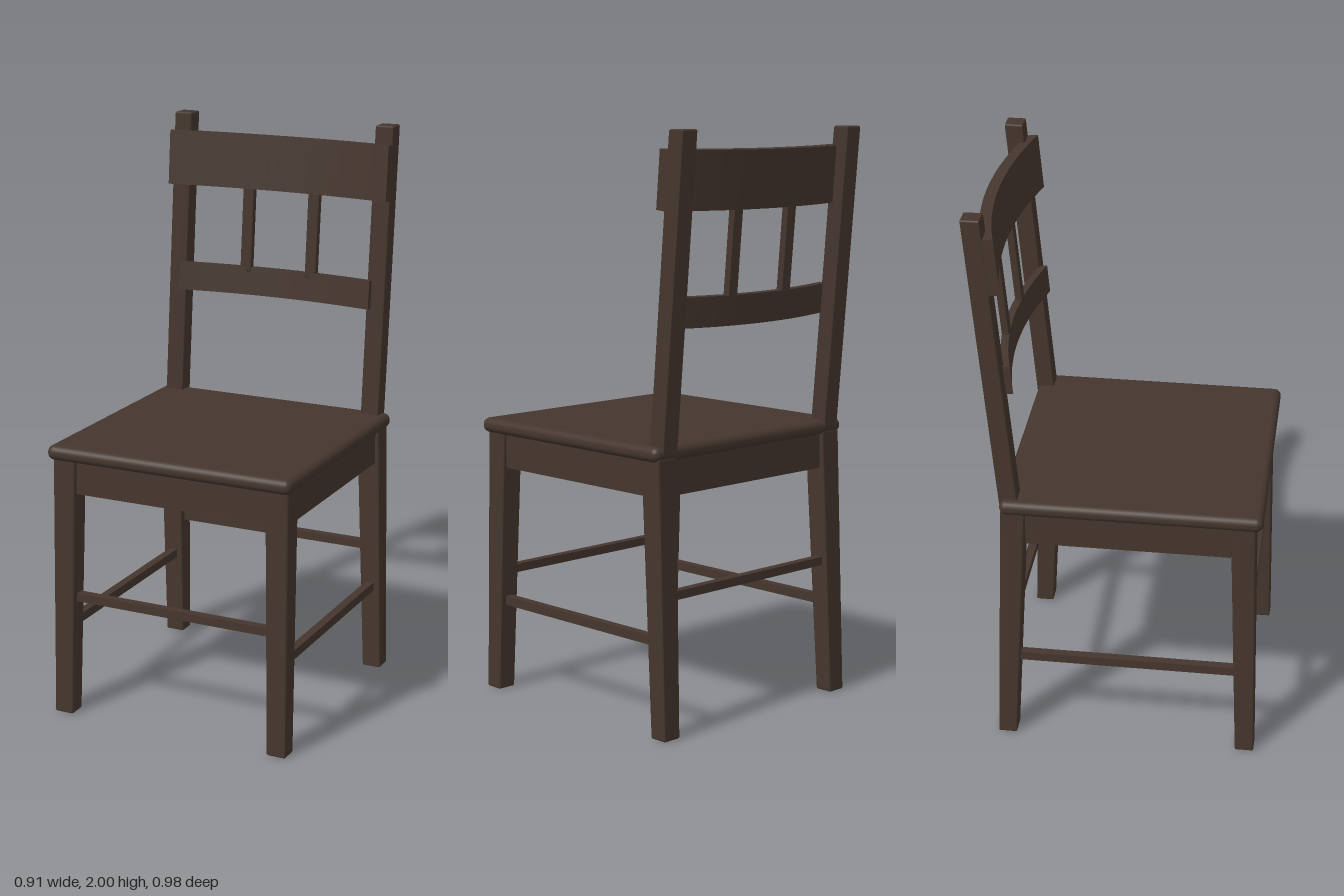
import * as THREE from 'three';
import { RoundedBoxGeometry } from 'three/addons/geometries/RoundedBoxGeometry.js';

const TILT = -0.086; // backward lean of the backrest

export function createModel() {
  const chair = new THREE.Group();
  chair.name = 'chair';
  const wood = new THREE.MeshStandardMaterial({ name: 'dark walnut', color: 0x45362e });

  function add(name, geometry, x = 0, y = 0, z = 0) {
    const mesh = new THREE.Mesh(geometry, wood);
    mesh.name = name;
    mesh.position.set(x, y, z);
    chair.add(mesh);
    return mesh;
  }

  // Softly bevelled bar running upward between two rectangles [x, z, width, depth]
  function bar(name, y0, y1, low, high) {
    const geo = new RoundedBoxGeometry(1, 1, 1, 1, 0.08);
    const p = geo.attributes.position;
    const h = y1 - y0, bevel = 0.006;
    for (let i = 0; i < p.count; i++) {
      // keep the end bevels short however long the bar is
      const py = p.getY(i);
      const end = Math.max(0, (Math.abs(py) - 0.42) / 0.08);
      const t = 0.5 + Math.sign(py) * (0.5 - (1 - end) * bevel / h);
      const r = low.map((v, k) => THREE.MathUtils.lerp(v, high[k], t));
      p.setXYZ(i, r[0] + p.getX(i) * r[2], y0 + t * h, r[1] + p.getZ(i) * r[3]);
    }
    return add(name, geo);
  }

  // Board bowed backward in the middle and leaning with the posts
  function bowedRail(name, width, height, depth, bow, y, z) {
    const geo = new THREE.BoxGeometry(width, height, depth, 20, 1, 1);
    const p = geo.attributes.position;
    for (let i = 0; i < p.count; i++) {
      const u = p.getX(i) / (width / 2);
      p.setZ(i, p.getZ(i) - bow * (1 - u * u));
    }
    geo.computeVertexNormals();
    add(name, geo, 0, y, z).rotation.x = TILT;
  }

  // Seat with a rounded edge
  add('seat', new RoundedBoxGeometry(0.91, 0.052, 0.89, 4, 0.024), 0, 0.954, 0.045);

  for (const s of [1, -1]) {
    const side = s > 0 ? 'left' : 'right';
    // Tapered, splayed legs and leaning posts
    bar(side + 'FrontLeg', 0, 0.94, [s * 0.41, 0.452, 0.07, 0.066], [s * 0.398, 0.424, 0.084, 0.084]);
    bar(side + 'BackLeg', 0, 0.94, [s * 0.41, -0.398, 0.07, 0.066], [s * 0.398, -0.355, 0.084, 0.084]);
    bar(side + 'BackPost', 0.95, 2, [s * 0.392, -0.37, 0.068, 0.064], [s * 0.392, -0.461, 0.068, 0.064]);
    // Side apron and stretcher
    add(side + 'Apron', new THREE.BoxGeometry(0.035, 0.125, 0.7), s * 0.41, 0.872, 0.035);
    add(side + 'Stretcher', new THREE.BoxGeometry(0.03, 0.032, 0.78), s * 0.405, 0.325, 0.025);
    // Backrest spindle
    bar(side + 'Spindle', 1.44, 1.76, [s * 0.128, -0.413, 0.042, 0.025], [s * 0.128, -0.441, 0.042, 0.025]);
  }

  // Front and back aprons and stretchers
  add('frontApron', new THREE.BoxGeometry(0.73, 0.125, 0.035), 0, 0.872, 0.435);
  add('backApron', new THREE.BoxGeometry(0.73, 0.125, 0.035), 0, 0.872, -0.365);
  add('frontStretcher', new THREE.BoxGeometry(0.76, 0.03, 0.03), 0, 0.43, 0.436);
  add('backStretcher', new THREE.BoxGeometry(0.76, 0.03, 0.03), 0, 0.475, -0.378);

  // Backrest rails
  bowedRail('crestRail', 0.85, 0.195, 0.04, 0.055, 1.84, -0.4);
  bowedRail('lowerBackRail', 0.75, 0.102, 0.026, 0.05, 1.41, -0.367);

  return chair;
}
